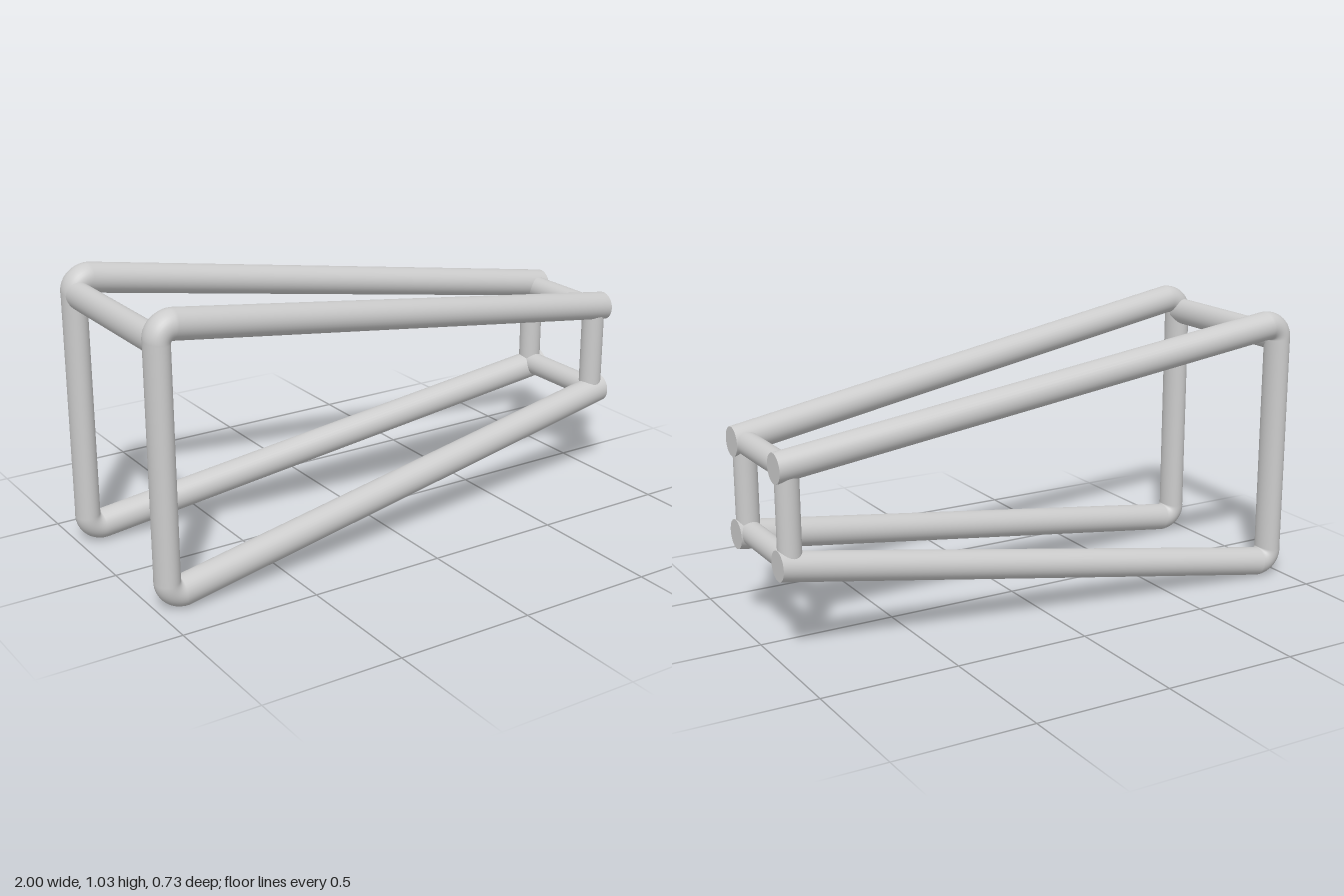
import * as THREE from 'three';

const HEIGHT = 1.026;   // overall height; the frame mirrors about half of it
const SIDES = 32;

// Skin elliptical sections { c: centre, u: in-plane half axis, w: half width in z }
function sweep(sections) {
  const pos = [], idx = [];
  const ring = (s) => {
    for (let j = 0; j <= SIDES; j++) {
      const a = (j / SIDES) * Math.PI * 2, k = Math.cos(a);
      pos.push(s.c.x + s.u.x * k, s.c.y + s.u.y * k, s.c.z + s.w * Math.sin(a));
    }
  };
  sections.forEach(ring);
  const n = SIDES + 1;
  for (let i = 0; i < sections.length - 1; i++) {
    for (let j = 0; j < SIDES; j++) {
      const a = i * n + j, b = a + n;
      idx.push(a, b, a + 1, a + 1, b, b + 1);
    }
  }
  // flat end caps with their own vertices
  [sections[0], sections[sections.length - 1]].forEach((s, end) => {
    const start = pos.length / 3;
    ring(s);
    const mid = pos.length / 3;
    pos.push(s.c.x, s.c.y, s.c.z);
    for (let j = 0; j < SIDES; j++) {
      const a = start + j;
      idx.push(mid, end ? a + 1 : a, end ? a : a + 1);
    }
  });
  const g = new THREE.BufferGeometry();
  g.setAttribute('position', new THREE.Float32BufferAttribute(pos, 3));
  g.setIndex(idx);
  g.computeVertexNormals();
  // share the normal across the lengthwise seam
  const nor = g.attributes.normal, v = new THREE.Vector3(), t = new THREE.Vector3();
  for (let i = 0; i < sections.length; i++) {
    const a = i * n, b = a + SIDES;
    v.fromBufferAttribute(nor, a).add(t.fromBufferAttribute(nor, b)).normalize();
    nor.setXYZ(a, v.x, v.y, v.z);
    nor.setXYZ(b, v.x, v.y, v.z);
  }
  return g;
}

// One bent side tube: upper rail, tight bend, upright, tight bend, lower rail
function sideTube(side) {
  const V = (x, y, z) => new THREE.Vector3(x, y, z);
  const half = [{ c: V(1, 0.68, 0.187 * side), u: V(0, 0.053, 0), w: 0.053 }];
  const pivot = V(-0.912, 0.918, 0.313 * side);
  const from = THREE.MathUtils.degToRad(81), steps = 14;
  for (let i = 0; i <= steps; i++) {
    const t = i / steps, a = from + (Math.PI - from) * t;
    const r = THREE.MathUtils.lerp(0.053, 0.0427, t);
    const u = V(Math.cos(a) * r, Math.sin(a) * r, 0);
    half.push({ c: pivot.clone().addScaledVector(u, 1.06), u, w: 0.054 });
  }
  const lower = half.map(({ c, u, w }) => ({
    c: V(c.x, HEIGHT - c.y, c.z), u: V(u.x, -u.y, 0), w,
  })).reverse();
  return sweep([...half, ...lower]);
}

export function createModel() {
  const model = new THREE.Group();
  model.name = 'taperedTubeFrame';
  const mat = new THREE.MeshStandardMaterial({ color: 0xcccccc });
  const add = (geo, name, x, y, z) => {
    const m = new THREE.Mesh(geo, mat);
    m.name = name;
    m.position.set(x, y, z);
    model.add(m);
  };

  for (const side of [1, -1]) {
    const label = side > 0 ? 'front' : 'back';
    add(sideTube(side), label + 'SideTube', 0, 0, 0);
    // short upright at the narrow end
    add(new THREE.CylinderGeometry(0.043, 0.043, 0.32, SIDES).scale(0.95, 1, 1),
      label + 'NarrowUpright', 0.955, HEIGHT / 2, 0.185 * side);
  }

  // crossbars of the narrow end
  for (const [name, y] of [['upperNarrowCrossbar', 0.675], ['lowerNarrowCrossbar', 0.353]]) {
    add(new THREE.CylinderGeometry(0.043, 0.043, 0.36, SIDES).rotateX(Math.PI / 2).scale(0.95, 1, 1),
      name, 0.955, y, 0);
  }

  // slightly oval crossbar at the top of the wide end
  add(new THREE.CylinderGeometry(0.05, 0.05, 0.6, SIDES).rotateX(Math.PI / 2).scale(0.83, 1, 1),
    'wideCrossbar', -0.955, 0.925, 0);

  return model;
}
